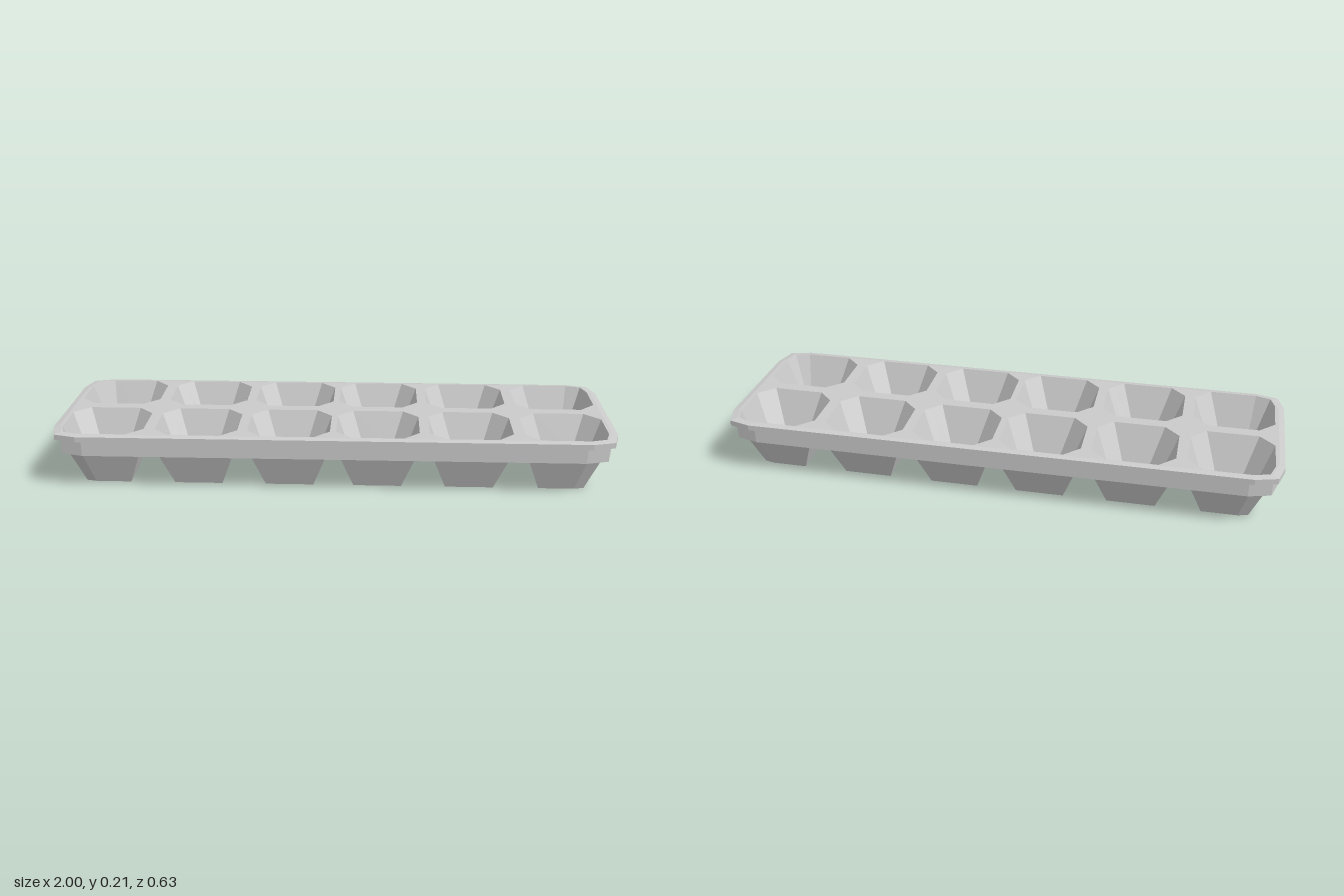
import * as THREE from 'three';

const material = new THREE.MeshStandardMaterial({ color: 0xcccccc, flatShading: true });

// Rectangle ring of [x, z] points, running from +x towards +z.
// cut(sx, sz) gives [size, k] for a corner: size 0 is sharp, k 0.5 a straight cut, smaller k is rounder.
function ring(cx, cz, hx, hz, cut) {
  const points = [];
  for (const [sx, sz] of [[1, 1], [-1, 1], [-1, -1], [1, -1]]) {
    const [c, k] = cut(sx, sz);
    const at = (dx, dz) => [cx + sx * (hx - dx), cz + sz * (hz - dz)];
    if (c === 0) { points.push(at(0, 0)); continue; }
    const corner = [at(0, c), at(c * k, c * k), at(c, 0)];
    points.push(...(sx * sz > 0 ? corner : corner.reverse()));
  }
  return points;
}

// Wall through [y, ring] levels listed from top to bottom.
function loft(levels, inward = false) {
  const pos = [];
  for (let l = 0; l < levels.length - 1; l++) {
    const [y0, top] = levels[l], [y1, low] = levels[l + 1];
    for (let i = 0; i < top.length; i++) {
      const j = (i + 1) % top.length;
      const a = [top[i][0], y0, top[i][1]], b = [top[j][0], y0, top[j][1]];
      const c = [low[j][0], y1, low[j][1]], d = [low[i][0], y1, low[i][1]];
      pos.push(...(inward ? [a, c, b, a, d, c] : [a, b, c, a, c, d]).flat());
    }
  }
  const geo = new THREE.BufferGeometry();
  geo.setAttribute('position', new THREE.Float32BufferAttribute(pos, 3));
  geo.computeVertexNormals();
  return geo;
}

// Flat horizontal face with holes, facing up or down.
function plate(outline, y, up, holes = []) {
  const flat = (pts) => pts.map(([x, z]) => new THREE.Vector2(x, up ? -z : z));
  const shape = new THREE.Shape(flat(outline));
  shape.holes = holes.map((h) => new THREE.Path(flat(h)));
  return new THREE.ShapeGeometry(shape).rotateX(up ? -Math.PI / 2 : Math.PI / 2).translate(0, y, 0);
}

export function createModel() {
  const tray = new THREE.Group();
  tray.name = 'iceCubeTray';
  const add = (parent, name, geo) => {
    const mesh = new THREE.Mesh(geo, material);
    mesh.name = name;
    parent.add(mesh);
  };
  const TOP = 0.211, SKIRT = 0.187, UNDER = 0.13, FLOOR = 0.075;
  const round = () => [0.1, 0.22];
  const rimTop = ring(0, 0, 0.98, 0.297, round);
  const rim = ring(0, 0, 1, 0.316, round);
  const skirt = ring(0, 0, 0.984, 0.3, round);
  const openings = [], sockets = [];

  // Twelve pockets in two rows
  for (const x of [-0.82, -0.487, -0.158, 0.158, 0.487, 0.82]) {
    for (const z of [-0.157, 0.157]) {
      // Only the tray's own four corners are rounded
      const isCorner = (sx, sz) => Math.abs(x) > 0.8 && sx * x > 0 && sz * z > 0;
      const pick = (special, normal) => (sx, sz) => (isCorner(sx, sz) ? special : normal);
      const opening = ring(x, z, 0.147, 0.135, pick([0.07, 0.24], [0.055, 0.5]));
      const floor = ring(x, z, 0.094, 0.083, pick([0.03, 0.24], [0.045, 0.5]));
      const socket = ring(x, z, 0.134, 0.115, pick([0.06, 0.2], [0, 0]));
      const base = ring(x, z, 0.086, 0.066, pick([0.045, 0.2], [0, 0]));
      openings.push(opening);
      sockets.push(socket);

      const cup = new THREE.Group();
      cup.name = 'cup';
      add(cup, 'cupInnerWall', loft([[TOP, opening], [FLOOR, floor]], true));
      add(cup, 'cupFloor', plate(floor, FLOOR, true));
      add(cup, 'cupOuterWall', loft([[UNDER, socket], [0, base]]));
      add(cup, 'cupBase', plate(base, 0, false));
      tray.add(cup);
    }
  }

  // Top sheet, lipped edge with skirt, and underside
  add(tray, 'topSheet', plate(rimTop, TOP, true, openings));
  add(tray, 'rimAndSkirt', loft([[TOP, rimTop], [0.207, rim], [SKIRT, rim], [SKIRT, skirt], [UNDER, skirt]]));
  add(tray, 'underside', plate(skirt, UNDER, false, sockets));
  return tray;
}
